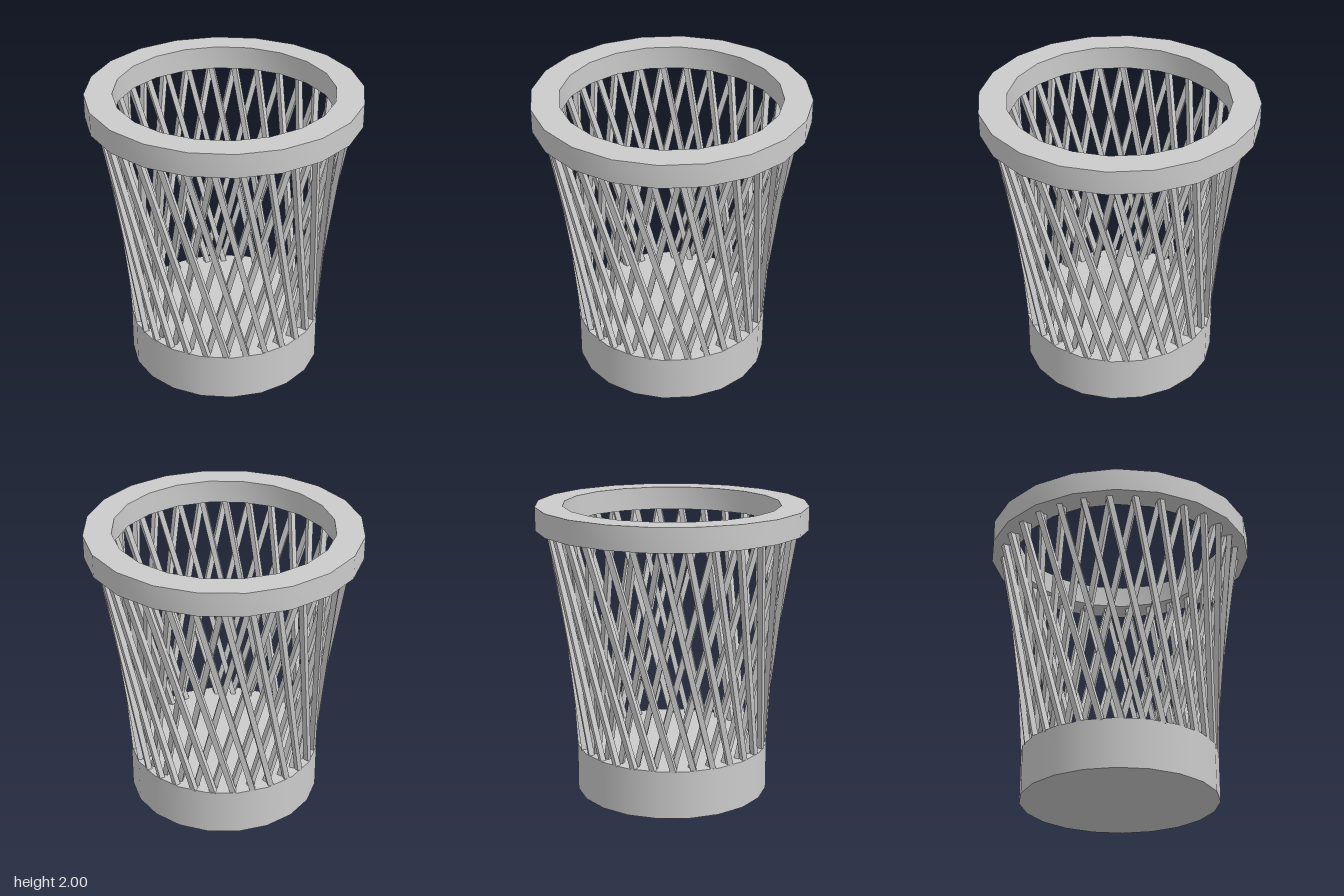
import * as THREE from 'three';
import { toCreasedNormals } from 'three/addons/utils/BufferGeometryUtils.js';

const SIDES = 20;
const RODS = 30;
const ROD_WIDTH = 0.037;
const BASE_TOP = 0.33;
const RIM_BOTTOM = 1.84;
const STEP = (Math.PI * 2) / RODS;
const SWEEP = STEP * 2.5;

// Point at angle a (measured from the front, towards +x)
const polar = (r, a, y) => new THREE.Vector3(r * Math.sin(a), y, r * Math.cos(a));

export function createModel() {
  const group = new THREE.Group();
  group.name = 'wasteBasket';
  const material = new THREE.MeshStandardMaterial({ color: 0xcccccc });

  const add = (parent, name, geometry) => {
    const mesh = new THREE.Mesh(geometry, material);
    mesh.name = name;
    parent.add(mesh);
    return mesh;
  };

  // Solid base drum
  const base = add(group, 'base', new THREE.CylinderGeometry(0.665, 0.665, BASE_TOP, SIDES));
  base.position.y = BASE_TOP / 2;

  // Rim: rectangular ring
  const profile = [[0.735, RIM_BOTTOM], [0.92, RIM_BOTTOM], [0.92, 2], [0.735, 2], [0.735, RIM_BOTTOM]]
    .map(([x, y]) => new THREE.Vector2(x, y));
  add(group, 'rim', toCreasedNormals(new THREE.LatheGeometry(profile, SIDES), 0.6));

  // Two layers of straight square rods, leaning opposite ways
  const addLayer = (name, bottomRadius, topRadius, sweep) => {
    const layer = new THREE.Group();
    layer.name = name;
    group.add(layer);
    const span = polar(topRadius, sweep, RIM_BOTTOM).sub(polar(bottomRadius, 0, BASE_TOP));
    const geometry = new THREE.BoxGeometry(ROD_WIDTH, span.length() + 0.02, ROD_WIDTH);
    for (let i = 0; i < RODS; i++) {
      const a = (i + 0.25) * STEP;
      const bottom = polar(bottomRadius, a, BASE_TOP);
      const top = polar(topRadius, a + sweep, RIM_BOTTOM);
      const rod = add(layer, 'rod', geometry);
      rod.position.copy(bottom).lerp(top, 0.5);
      // One flat face looks outwards
      const along = top.sub(bottom).normalize();
      const side = along.clone().cross(polar(1, a + sweep / 2, 0)).normalize();
      const out = side.clone().cross(along);
      rod.quaternion.setFromRotationMatrix(new THREE.Matrix4().makeBasis(side, along, out));
    }
  };
  addLayer('outerRods', 0.64, 0.83, -SWEEP);
  addLayer('innerRods', 0.59, 0.79, SWEEP);

  return group;
}
